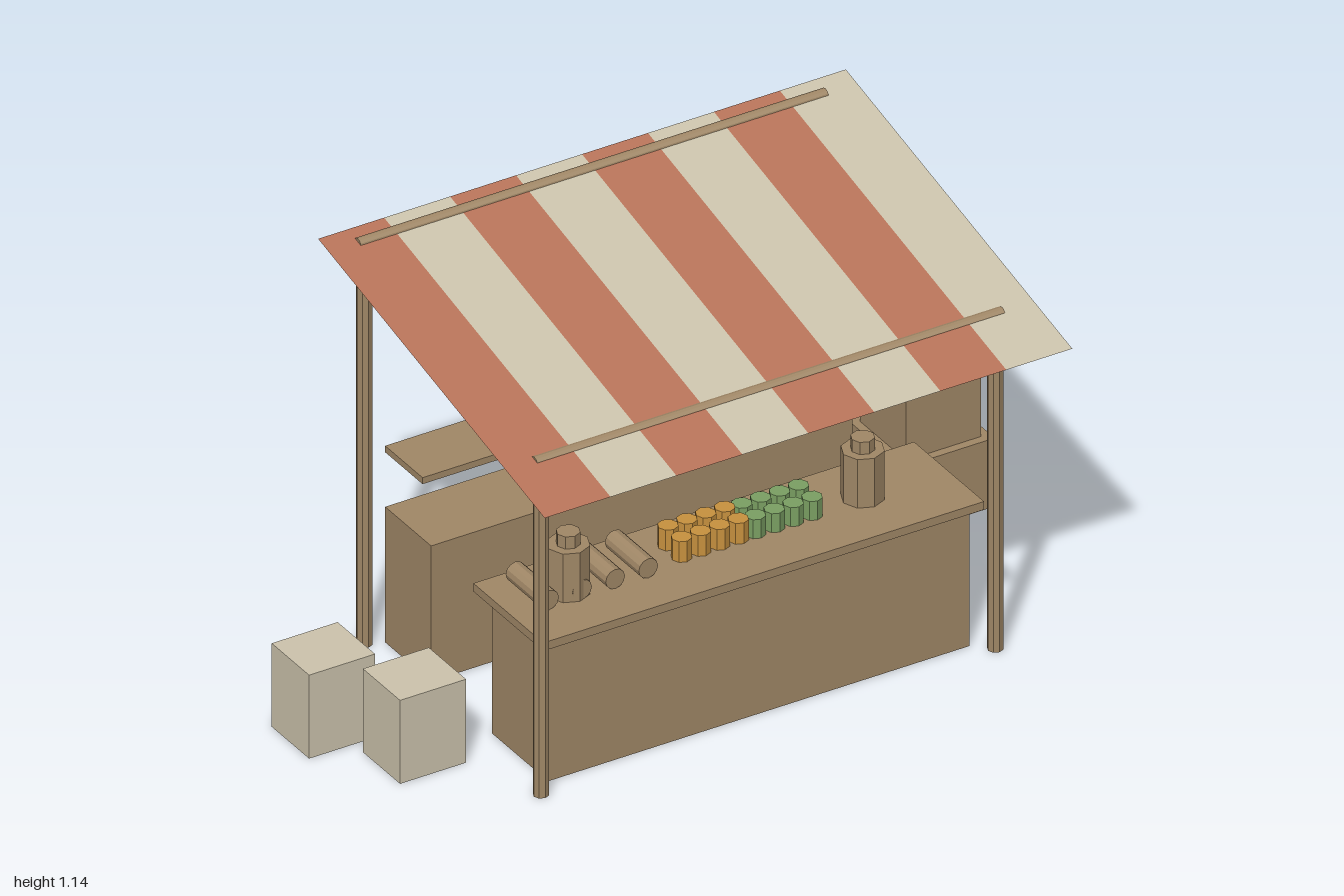
import * as THREE from 'three';

const mat = (name, color, extra = {}) => {
  const m = new THREE.MeshStandardMaterial({ color, flatShading: true, ...extra });
  m.name = name;
  return m;
};

export function createModel() {
  const group = new THREE.Group();
  const wood = mat('wood', 0xa18867);
  const beige = mat('beige cloth', 0xcdc4ad, { side: THREE.DoubleSide });
  const red = mat('red cloth', 0xb9745a, { side: THREE.DoubleSide });
  const orange = mat('orange', 0xc8923f);
  const green = mat('green', 0x7ba063);

  const add = (name, geometry, material) => {
    const mesh = new THREE.Mesh(geometry, material);
    mesh.name = name;
    group.add(mesh);
    return mesh;
  };
  // Box given by its extents on each axis
  const box = (name, [x0, x1], [y0, y1], [z0, z1], material = wood) =>
    add(name, new THREE.BoxGeometry(x1 - x0, y1 - y0, z1 - z0), material)
      .position.set((x0 + x1) / 2, (y0 + y1) / 2, (z0 + z1) / 2);
  // Upright cylinder standing on height y
  const upright = (name, r, h, x, y, z, material = wood) =>
    add(name, new THREE.CylinderGeometry(r, r, h, 8), material).position.set(x, y + h / 2, z);

  // Counters and shelf
  const span = [-0.567, 0.615];
  box('frontCounter', span, [0, 0.385], [0.033, 0.29]);
  box('counterTop', [-0.594, 0.642], [0.385, 0.408], [-0.008, 0.312]);
  box('backCounter', span, [0, 0.38], [-0.455, -0.245]);
  box('shelf', span, [0.533, 0.551], [-0.455, -0.284]);

  // Posts and the two rails that carry the canopy
  for (const [end, z, h] of [['front', 0.332, 0.936], ['back', -0.475, 1.127]]) {
    for (const x of [-0.613, 0.661]) upright(end + 'Post', 0.02, h, x, 0, z);
    const rail = add(end + 'Rail', new THREE.CylinderGeometry(0.016, 0.016, 1.312, 12), wood);
    rail.rotation.z = Math.PI / 2;
    rail.position.set(0.024, h, z);
  }

  // Sloping striped canopy
  const back = { y: 1.145, z: -0.52 }, front = { y: 0.903, z: 0.515 };
  const depth = Math.hypot(back.y - front.y, front.z - back.z);
  const slope = Math.atan2(back.y - front.y, front.z - back.z);
  for (let i = 0; i < 8; i++) {
    const stripe = add('canopyStripe', new THREE.PlaneGeometry(0.185, depth), i % 2 ? beige : red);
    stripe.rotation.x = slope - Math.PI / 2;
    stripe.position.set(-0.715 + 0.185 * (i + 0.5), (back.y + front.y) / 2, (back.z + front.z) / 2);
  }

  // Lidded jars on the counter and the shelf
  for (const [x, y, z] of [[-0.42, 0.408, 0.142], [0.406, 0.408, 0.142],
    [-0.147, 0.551, -0.367], [0.235, 0.551, -0.367]]) {
    upright('jarBody', 0.054, 0.136, x, y, z);
    upright('jarLid', 0.03, 0.034, x, y + 0.136, z);
  }

  // Row of rolls lying on the counter
  for (let i = 0; i < 4; i++) {
    const roll = add('roll', new THREE.CylinderGeometry(0.027, 0.027, 0.155, 12), wood);
    roll.rotation.x = Math.PI / 2;
    roll.position.set(-0.503 + 0.0927 * i, 0.435, 0.113);
  }

  // Two blocks of small pots, four by two
  for (let i = 0; i < 4; i++) {
    for (const z of [0.088, 0.15]) {
      upright('orangePot', 0.026, 0.058, -0.107 + 0.053 * i, 0.408, z, orange);
      upright('greenPot', 0.026, 0.053, 0.1 + 0.053 * i, 0.408, z, green);
    }
  }

  // Stacked crates on one side, pale sacks on the other
  box('lowerCrate', [0.743, 1], [0, 0.192], [-0.478, -0.222]);
  box('upperCrate', [0.765, 0.975], [0.192, 0.384], [-0.455, -0.245]);
  box('sack', [-1, -0.815], [0, 0.234], [-0.268, -0.097], beige);
  box('sack', [-0.875, -0.69], [0, 0.234], [-0.055, 0.115], beige);

  return group;
}
